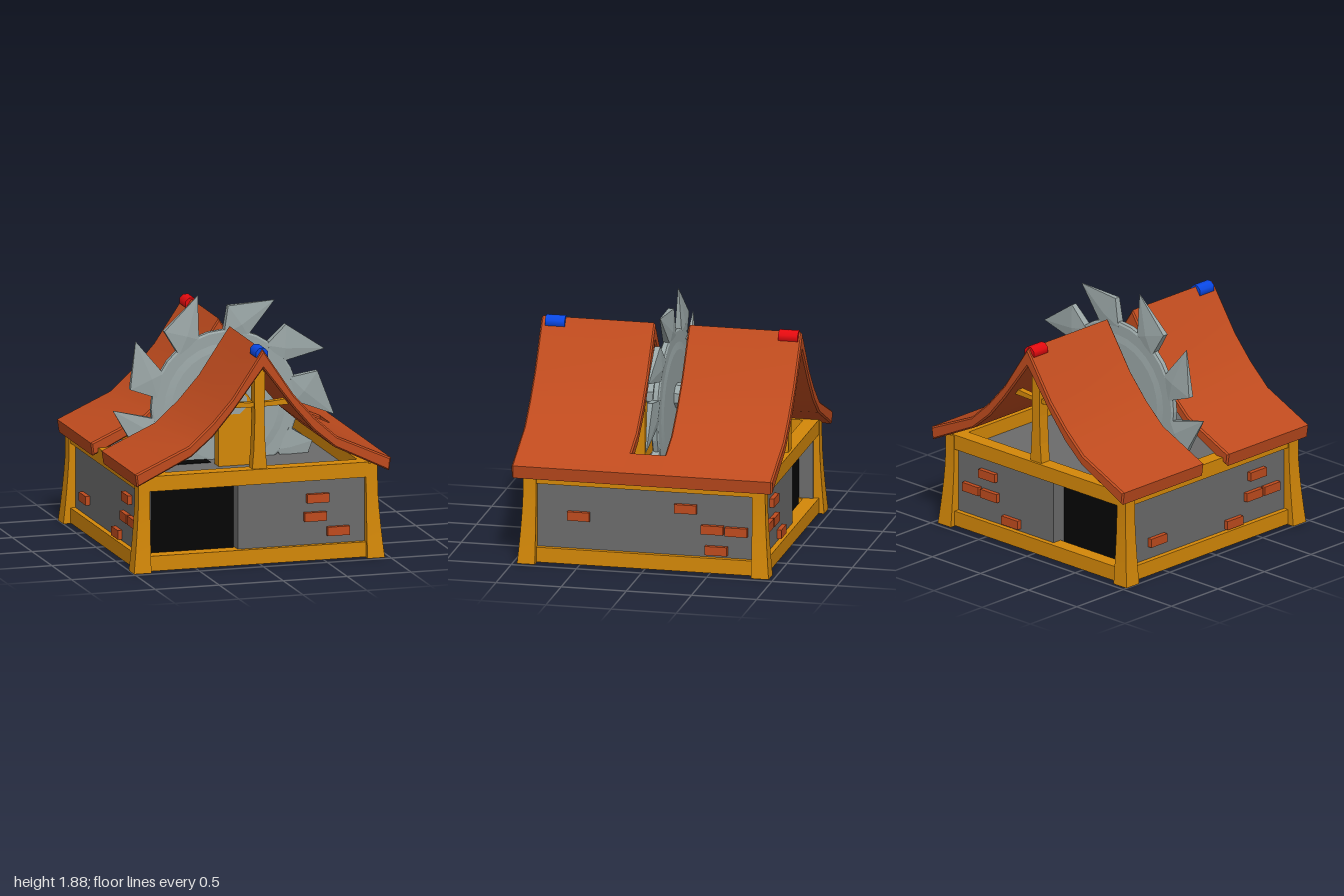
import * as THREE from 'three';
import { toCreasedNormals } from 'three/addons/utils/BufferGeometryUtils.js';

const mat = (name, color) => {
  const m = new THREE.MeshStandardMaterial({ color });
  m.name = name;
  return m;
};

export function createModel() {
  const model = new THREE.Group();
  model.name = 'sawmill';
  const wood = mat('ochre wood', 0xd48808);
  const clay = mat('clay orange', 0xbf4b1e);
  const stone = mat('stone grey', 0x6b6b6b);
  const dark = mat('doorway black', 0x050505);
  const steel = mat('saw steel', 0x9aa6a6);
  const blue = mat('blue cap', 0x0a4aea);
  const red = mat('red cap', 0xee0b10);

  const add = (parent, name, geo, material, x = 0, y = 0, z = 0) => {
    const mesh = new THREE.Mesh(geo, material);
    mesh.name = name;
    mesh.position.set(x, y, z);
    parent.add(mesh);
    return mesh;
  };
  // box given by its minimum and maximum corners
  const block = (parent, name, material, a, b) => add(parent, name,
    new THREE.BoxGeometry(b[0] - a[0], b[1] - a[1], b[2] - a[2]), material,
    (a[0] + b[0]) / 2, (a[1] + b[1]) / 2, (a[2] + b[2]) / 2);
  const polygon = pts => new THREE.Shape(pts.map(p => new THREE.Vector2(...p)));

  const house = new THREE.Group();
  house.name = 'house';
  house.position.x = -0.02;
  model.add(house);

  // walls and deck, with a dark recessed passage on the right-hand side
  block(house, 'mainRoom', stone, [-0.145, 0.02, -0.885], [0.885, 0.606, 0.885]);
  block(house, 'sideWall', stone, [-0.885, 0.02, -0.885], [-0.825, 0.606, 0.885]);
  block(house, 'passage', dark, [-0.825, 0.03, -0.775], [-0.145, 0.605, 0.775]);
  block(house, 'passageFloor', dark, [-0.825, 0.02, -0.885], [-0.145, 0.03, 0.885]);
  block(house, 'deck', stone, [-0.885, 0.606, -0.885], [0.885, 0.622, 0.885]);
  block(house, 'sawSlot', dark, [-0.81, 0.62, -0.14], [-0.125, 0.626, 0.14]);

  // beams along the four sides, low and high
  for (const [y0, y1] of [[0.005, 0.12], [0.615, 0.73]]) {
    for (const s of [-1, 1]) {
      const lo = Math.min(s * 0.81, s * 0.925), hi = Math.max(s * 0.81, s * 0.925);
      block(house, 'crossBeam', wood, [-0.87, y0, lo], [0.87, y1, hi]);
      block(house, 'sideBeam', wood, [lo, y0, -0.87], [hi, y1, 0.87]);
    }
  }

  // corner posts flaring outward at the foot
  for (const sx of [-1, 1]) for (const sz of [-1, 1]) {
    const geo = new THREE.BoxGeometry(0.09, 0.72, 0.1, 1, 6, 1);
    const p = geo.attributes.position;
    for (let i = 0; i < p.count; i++) {
      const y = p.getY(i) + 0.36;
      const flare = 0.045 * Math.max(0, 1 - y / 0.55) ** 1.4;
      if (p.getX(i) * sx > 0) p.setX(i, p.getX(i) + sx * flare);
      if (p.getZ(i) * sz > 0) p.setZ(i, p.getZ(i) + sz * flare * 0.8);
    }
    geo.computeVertexNormals();
    add(house, 'cornerPost', geo, wood, sx * 0.89, 0.36, sz * 0.879);
  }

  // exposed bricks: position along each wall and height
  const bricks = {
    front: [[0.475, 0.475], [0.455, 0.335], [0.635, 0.215]],
    back: [[0.52, 0.485], [0.69, 0.335], [0.5, 0.33], [0.28, 0.175]],
    left: [[0.51, 0.375], [-0.31, 0.485], [-0.515, 0.335], [-0.7, 0.33], [-0.545, 0.175]],
    right: [[0.52, 0.485], [0.48, 0.33], [0.67, 0.33], [0.27, 0.165], [-0.55, 0.25]],
  };
  for (const [side, list] of Object.entries(bricks)) {
    const s = side === 'front' || side === 'left' ? 1 : -1;
    for (const [u, y] of list) {
      if (side === 'front' || side === 'back')
        add(house, side + 'Brick', new THREE.BoxGeometry(0.17, 0.068, 0.06), clay, u, y, s * 0.89);
      else
        add(house, side + 'Brick', new THREE.BoxGeometry(0.06, 0.068, 0.17), clay, s * 0.89, y, u);
    }
  }

  // gable posts and cross bars
  const postShape = polygon([[-0.06, 0.7], [0.06, 0.7], [0.045, 0.88], [0.038, 1.1],
    [0.042, 1.57], [-0.042, 1.57], [-0.038, 1.1], [-0.045, 0.88]]);
  const barShape = polygon([[-0.25, 1.205], [-0.08, 1.2], [0.08, 1.2], [0.25, 1.205],
    [0.24, 1.25], [0.08, 1.235], [-0.08, 1.235], [-0.24, 1.25]]);
  for (const s of [-1, 1]) {
    add(model, 'gablePost', new THREE.ExtrudeGeometry(postShape,
      { depth: 0.09, bevelEnabled: false }), wood, 0, 0, s * 0.86 - 0.045);
    add(model, 'gableBar', new THREE.ExtrudeGeometry(barShape,
      { depth: 0.05, bevelEnabled: false }), wood, 0, 0, s * 0.86 - 0.025);
  }

  // roof halves on either side of the slot, joined by a strip at the left eave
  const outer = [[0.24, 1.3], [0.4, 1.12], [0.58, 0.957], [1, 0.768]];
  const inner = [[0.985, 0.67], [0.56, 0.876], [0.39, 1.02], [0.237, 1.2]];
  const flip = pts => pts.map(([x, y]) => [-x, y]);
  const roofShape = polygon([[0, 1.657], ...flip(outer), ...flip(inner),
    [0, 1.515], ...[...inner].reverse(), ...[...outer].reverse()]);
  const bevel = 0.012;
  const roofGeo = toCreasedNormals(new THREE.ExtrudeGeometry(roofShape, {
    depth: 0.873 - 2 * bevel, bevelThickness: bevel, bevelSize: bevel,
    bevelOffset: -bevel, bevelSegments: 1 }), 0.5);
  add(model, 'frontRoof', roofGeo, clay, 0, 0, 0.127 + bevel);
  add(model, 'backRoof', roofGeo, clay, 0, 0, -1 + bevel);
  const strip = polygon([[0.79, 0.765], [0.985, 0.67], [1, 0.768], [0.79, 0.8625]]);
  add(model, 'eaveStrip', new THREE.ExtrudeGeometry(strip,
    { depth: 0.3, bevelEnabled: false }), clay, 0, 0, -0.15);

  // ridge caps
  const capGeo = new THREE.CylinderGeometry(0.052, 0.052, 0.15, 8);
  capGeo.rotateY(Math.PI / 8).rotateX(Math.PI / 2);
  add(model, 'frontCap', capGeo, blue, 0, 1.617, 0.888);
  add(model, 'backCap', capGeo, red, 0, 1.617, -0.9);

  // axle and its rounded bearing plates
  const axleGeo = new THREE.CylinderGeometry(0.095, 0.095, 0.59, 8);
  axleGeo.rotateY(Math.PI / 8).rotateX(Math.PI / 2);
  add(model, 'axle', toCreasedNormals(axleGeo, 0.3), steel, 0, 1.105, 0);
  const bearing = polygon([[-0.13, 0.6], [0.13, 0.6], [0.13, 1.07]]);
  bearing.absarc(0, 1.07, 0.13, 0, Math.PI, false);
  for (const s of [-1, 1]) add(model, 'bearingPlate', new THREE.ExtrudeGeometry(bearing,
    { depth: 0.11, bevelEnabled: false, curveSegments: 12 }), wood, 0, 0, s * 0.23 - 0.055);

  // saw blade: stepped disc with nine hooked teeth
  const saw = new THREE.Group();
  saw.name = 'sawBlade';
  saw.position.set(0, 1.03, 0);
  model.add(saw);
  const rim = [[0, 0.036], [0.42, 0.036], [0.475, 0.028], [0.56, 0.028], [0.575, 0.018]];
  const discProfile = [...rim.map(([r, z]) => [r, -z]), ...rim.reverse()];
  const disc = new THREE.LatheGeometry(discProfile.map(p => new THREE.Vector2(...p)), 28);
  add(saw, 'disc', toCreasedNormals(disc.rotateX(Math.PI / 2), 0.12), steel);

  // tooth outline as angle, radius and half thickness, around a raised centre
  const polar = (deg, r, z) => {
    const a = deg * Math.PI / 180;
    return [r * Math.cos(a), r * Math.sin(a), z];
  };
  const outline = [[0, 0.87, 0.003], [25, 0.755, 0.022], [28, 0.54, 0.03], [8, 0.55, 0.026]];
  const corners = [];
  outline.forEach(([a, r, h], i) => {
    const [b, t, k] = outline[(i + 1) % 4];
    const p = polar(a, r, h), pBack = polar(a, r, -h);
    const q = polar(b, t, k), qBack = polar(b, t, -k);
    corners.push(...polar(15, 0.62, 0.037), ...p, ...q, ...polar(15, 0.62, -0.037), ...qBack, ...pBack,
      ...p, ...pBack, ...qBack, ...p, ...qBack, ...q);
  });
  const toothGeo = new THREE.BufferGeometry();
  toothGeo.setAttribute('position', new THREE.Float32BufferAttribute(corners, 3));
  toothGeo.computeVertexNormals();
  for (const deg of [103.7, 63, 25.7, -8.7, -50, -93, -136, 179.6, 142.7])
    add(saw, 'tooth', toothGeo, steel).rotation.z = deg * Math.PI / 180;

  return model;
}
